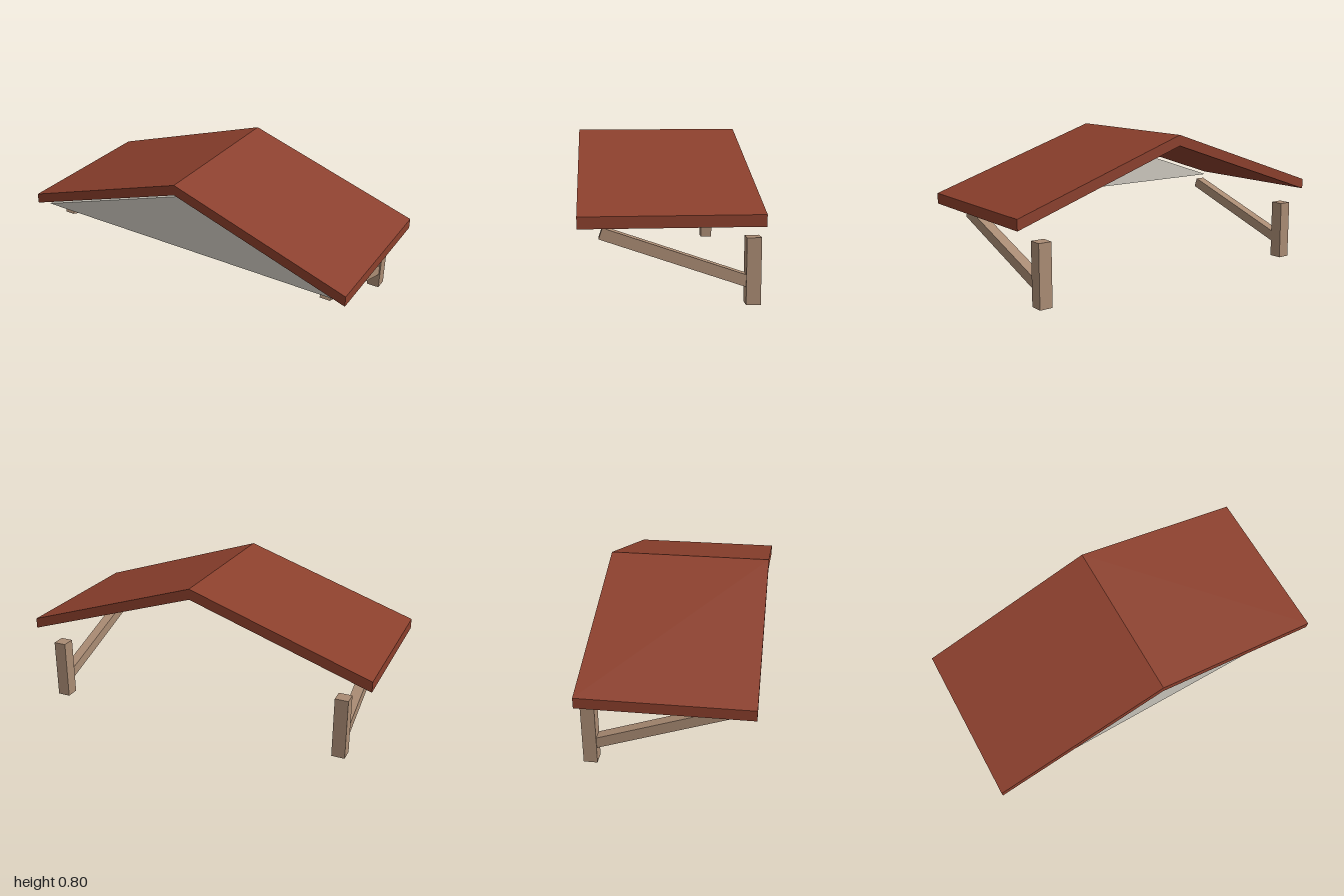
import * as THREE from 'three';

const material = (name, color) => {
  const m = new THREE.MeshStandardMaterial({ color });
  m.name = name;
  return m;
};

// Extrudes an outline of [x, y] points from z0 to z1
function extrude(name, points, z0, z1, mat) {
  const shape = new THREE.Shape(points.map(([x, y]) => new THREE.Vector2(x, y)));
  const geometry = new THREE.ExtrudeGeometry(shape, { depth: z1 - z0, bevelEnabled: false });
  geometry.translate(0, 0, z0);
  const mesh = new THREE.Mesh(geometry, mat);
  mesh.name = name;
  return mesh;
}

function box(name, size, position, mat) {
  const mesh = new THREE.Mesh(new THREE.BoxGeometry(...size), mat);
  mesh.name = name;
  mesh.position.set(...position);
  return mesh;
}

export function createModel() {
  const roofRed = material('roof red', 0x8b3f2c);
  const plaster = material('plaster grey', 0xcbc7bd);
  const wood = material('weathered wood', 0xaa8c74);

  const model = new THREE.Group();
  model.name = 'porchCanopy';

  // Pitched roof slab, folded at the ridge
  model.add(extrude('roof', [
    [-1, 0.41], [0, 0.743], [1, 0.41], [1, 0.468], [0, 0.802], [-1, 0.468],
  ], -0.445, 0.445, roofRed));

  // Triangular gable panel near the front edge
  model.add(extrude('gable', [[-0.94, 0.405], [0.94, 0.405], [0, 0.72]], 0.374, 0.41, plaster));

  // Wall post and sloping brace on each side
  const slope = 0.333;
  const length = 0.77;
  for (const side of [-1, 1]) {
    const bracket = new THREE.Group();
    bracket.name = side > 0 ? 'leftBracket' : 'rightBracket';
    bracket.add(box('post', [0.072, 0.335, 0.073], [side * 0.85, 0.1675, -0.4085], wood));
    const brace = box('brace', [0.058, 0.058, length], [
      side * 0.85,
      0.3645 - Math.sin(slope) * length / 2,
      0.335 - Math.cos(slope) * length / 2,
    ], wood);
    brace.rotation.x = -slope;
    bracket.add(brace);
    model.add(bracket);
  }
  return model;
}
